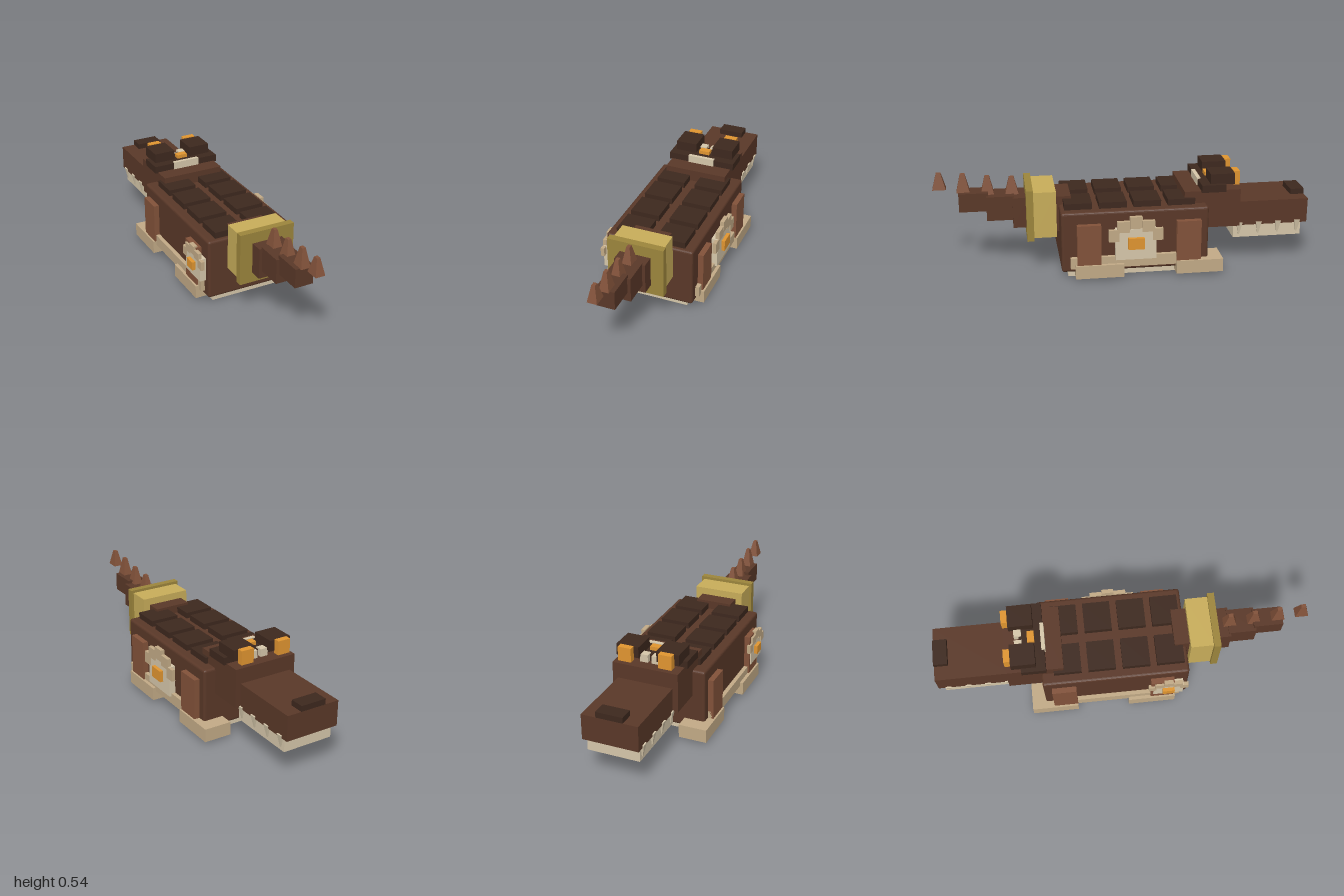
import * as THREE from 'three';
import { RoundedBoxGeometry } from 'three/addons/geometries/RoundedBoxGeometry.js';

const mat = (color) => new THREE.MeshStandardMaterial({ color, flatShading: true });
const M = {
  brown: mat(0x5a3828), dark: mat(0x3d281e), rust: mat(0x82523a), cream: mat(0xd6c7aa),
  tan: mat(0xc2aa86), gold: mat(0xc8ad5a), oldGold: mat(0x9c853c), amber: mat(0xe09530),
};

export function createModel() {
  const model = new THREE.Group();
  model.name = 'crocodile';

  function add(name, geo, material, x, y, z, parent = model) {
    const mesh = new THREE.Mesh(geo, material);
    mesh.name = name;
    mesh.position.set(x, y, z);
    parent.add(mesh);
    return mesh;
  }
  // Box given by its min and max on each axis
  function box(name, material, x0, x1, y0, y1, z0, z1, parent = model) {
    return add(name, new THREE.BoxGeometry(x1 - x0, y1 - y0, z1 - z0), material,
      (x0 + x1) / 2, (y0 + y1) / 2, (z0 + z1) / 2, parent);
  }
  // Box centred on x = 0
  const mid = (name, material, hx, y0, y1, z0, z1) => box(name, material, -hx, hx, y0, y1, z0, z1);
  // Pair of boxes mirrored in x
  function pair(name, material, x0, x1, y0, y1, z0, z1) {
    box(name + 'Left', material, x0, x1, y0, y1, z0, z1);
    box(name + 'Right', material, -x1, -x0, y0, y1, z0, z1);
  }
  // Square-based taper; half widths at bottom and top
  function taper(name, material, bottom, top, h, x, y, z, depth = 1) {
    const geo = new THREE.CylinderGeometry(top * Math.SQRT2, bottom * Math.SQRT2, h, 4);
    geo.rotateY(Math.PI / 4).scale(1, 1, depth);
    return add(name, geo, material, x, y + h / 2, z);
  }

  // Body, belly and back plates
  add('body', new RoundedBoxGeometry(0.48, 0.33, 0.78, 2, 0.013), M.brown, 0, 0.205, -0.045);
  mid('belly', M.cream, 0.2, 0, 0.045, -0.4, 0.31);
  for (let i = 0; i < 4; i++) {
    const z = 0.25 - i * 0.182;
    pair('backPlate', M.dark, 0.03, 0.19, 0.36, 0.403, z - 0.073, z + 0.073);
  }

  // Legs, feet and side trim
  for (const [z0, z1] of [[0.14, 0.265], [-0.39, -0.26]]) {
    pair('legPanel', M.rust, 0.23, 0.27, 0.087, 0.307, z0, z1);
  }
  pair('hindFoot', M.tan, 0.13, 0.28, 0.015, 0.087, 0.02, 0.275);
  pair('frontFoot', M.tan, 0.13, 0.28, 0.015, 0.087, -0.51, -0.26);
  pair('sideTrim', M.tan, 0.23, 0.262, 0.065, 0.126, -0.39, 0.3);

  // Head, brows and eyes
  mid('neck', M.brown, 0.175, 0.3, 0.435, -0.45, -0.315);
  mid('head', M.brown, 0.175, 0.228, 0.436, -0.618, -0.41);
  mid('brow', M.dark, 0.19, 0.43, 0.47, -0.535, -0.405);
  mid('browTrim', M.cream, 0.075, 0.435, 0.476, -0.42, -0.4);
  pair('eyeSocket', M.dark, 0.048, 0.167, 0.465, 0.523, -0.585, -0.455);
  pair('eye', M.amber, 0.073, 0.143, 0.452, 0.527, -0.618, -0.585);
  mid('browGem', M.amber, 0.03, 0.46, 0.49, -0.49, -0.453);
  pair('browClaw', M.cream, 0.01, 0.052, 0.432, 0.477, -0.56, -0.52);

  // Snout, jaw and teeth
  mid('snout', M.brown, 0.147, 0.22, 0.355, -1, -0.6);
  mid('nose', M.dark, 0.07, 0.35, 0.385, -1, -0.925);
  mid('lowerJaw', M.cream, 0.137, 0.147, 0.222, -0.97, -0.595);
  for (let i = 0; i < 4; i++) {
    for (const s of [-1, 1]) {
      taper('tooth', M.cream, 0.003, 0.016, 0.068, s * 0.139, 0.167, -0.625 - i * 0.107);
    }
  }

  // Gold tail cuff
  mid('tailBase', M.brown, 0.1, 0.22, 0.416, 0.28, 0.37);
  mid('cuff', M.gold, 0.138, 0.203, 0.455, 0.36, 0.482);
  mid('cuffRim', M.oldGold, 0.152, 0.19, 0.47, 0.48, 0.517);

  // Tapering tail
  mid('tailSegment', M.brown, 0.083, 0.245, 0.411, 0.51, 0.585);
  mid('tailSegment', M.brown, 0.067, 0.285, 0.417, 0.575, 0.722);
  mid('tailSegment', M.brown, 0.05, 0.334, 0.435, 0.71, 0.865);
  [[0.585, 0.413, 0.093], [0.713, 0.415, 0.1], [0.84, 0.432, 0.1], [0.963, 0.454, 0.087]]
    .forEach(([z, y, h]) => taper('tailSpike', M.rust, 0.026, 0.009, h, 0, y, z, 1.35));

  // Side crests: a plate, a stepped arch and a gem
  function crest(side, y, z, s) {
    const g = new THREE.Group();
    g.name = side > 0 ? 'leftCrest' : 'rightCrest';
    g.position.set(0, y, z);
    const part = (name, m, x0, x1, cy, h, cz, w) => box(name, m,
      side > 0 ? x0 : -x1, side > 0 ? x1 : -x0,
      (cy - h / 2) * s, (cy + h / 2) * s, (cz - w / 2) * s, (cz + w / 2) * s, g);
    part('crestPlate', M.cream, 0.235, 0.275, -0.005, 0.17, 0, 0.215);
    part('crestTop', M.tan, 0.26, 0.282, 0.116, 0.065, 0, 0.065);
    for (const d of [-1, 1]) {
      part('crestStep', M.tan, 0.26, 0.281, 0.094, 0.06, d * 0.066, 0.066);
      part('crestEnd', M.tan, 0.26, 0.28, 0.047, 0.065, d * 0.115, 0.055);
    }
    part('crestGem', M.amber, 0.27, 0.294, 0.003, 0.062, 0, 0.085);
    model.add(g);
  }
  crest(1, 0.2, -0.042, 1);
  crest(-1, 0.203, 0.234, 0.75);

  return model;
}
